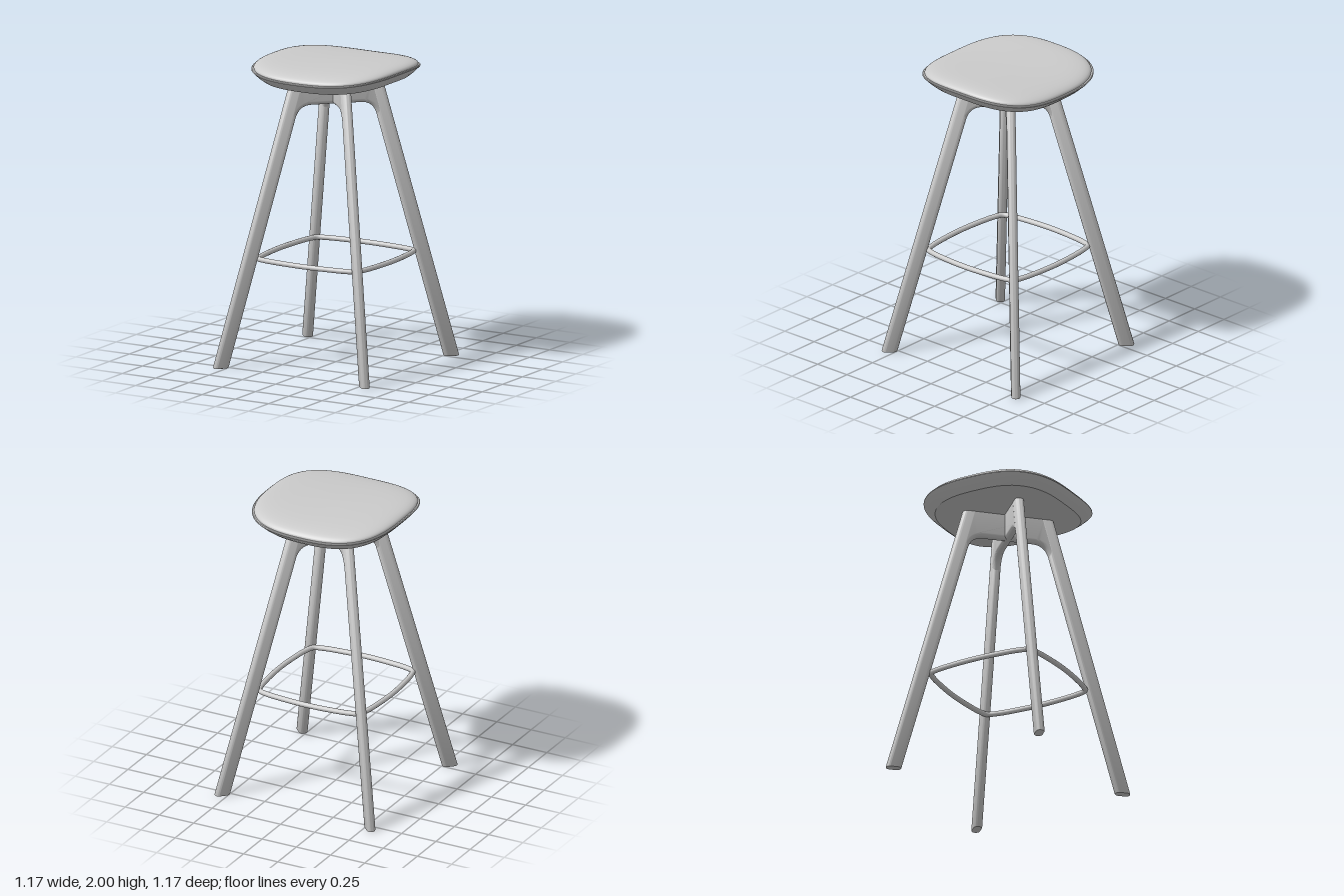
import * as THREE from 'three';
import { mergeVertices, toCreasedNormals } from 'three/addons/utils/BufferGeometryUtils.js';

const HALF = 0.495;      // half width of the seat
const ROUND = 2.9;       // squareness of the seat outline
const SADDLE = 0.08;     // sides curve up, front and back curve down
const LEAN = 0.2737;     // leg lean along the diagonal, per unit of height
const FOOT = 0.764;      // diagonal distance of the foot centre
const LEG_R = 0.029;     // half thickness of a leg
const LEG_FLAT = 0.022;  // half length of the flat part of its section

// Profile of [scale, height] pairs swept round a squarish outline and bent to a saddle
function seatPart(profile, crease) {
  const geo = new THREE.LatheGeometry(profile.map(([s, y]) => new THREE.Vector2(s, y)), 96);
  geo.deleteAttribute('uv');
  geo.deleteAttribute('normal');
  const p = geo.attributes.position;
  for (let i = 0; i < p.count; i++) {
    const x = p.getX(i), z = p.getZ(i);
    const a = Math.atan2(z, x);
    const k = HALF / Math.pow(Math.abs(Math.cos(a)) ** ROUND + Math.abs(Math.sin(a)) ** ROUND, 1 / ROUND);
    const nx = x * k, nz = z * k;
    p.setXYZ(i, nx, p.getY(i) + SADDLE * (nx * nx - nz * nz), nz);
  }
  const merged = mergeVertices(geo, 1e-5);
  merged.computeVertexNormals();
  return crease ? toCreasedNormals(merged, crease) : merged;
}

// Leg with a stadium section, sheared outwards along +x
function legGeometry() {
  const s = new THREE.Shape();
  s.absarc(LEG_FLAT, 0, LEG_R, -Math.PI / 2, Math.PI / 2, false);
  s.absarc(-LEG_FLAT, 0, LEG_R, Math.PI / 2, Math.PI * 1.5, false);
  const b = 0.006;
  const geo = new THREE.ExtrudeGeometry(s, {
    depth: 1.9 - 2 * b, curveSegments: 12,
    bevelThickness: b, bevelSize: b, bevelOffset: -b, bevelSegments: 2,
  });
  geo.translate(0, 0, b).rotateX(-Math.PI / 2);
  const p = geo.attributes.position;
  for (let i = 0; i < p.count; i++) p.setX(i, p.getX(i) + FOOT - LEAN * p.getY(i));
  return toCreasedNormals(geo, 0.6);
}

// Rounded board between two opposite legs, with fillets running into them
function apronGeometry() {
  const inner = y => FOOT - LEG_R - LEG_FLAT - LEAN * y;
  const end = y => FOOT + 0.015 - LEAN * y;
  const s = new THREE.Shape();
  s.moveTo(-0.165, 1.705);
  s.lineTo(0.165, 1.705);
  s.quadraticCurveTo(inner(1.705), 1.705, inner(1.62), 1.62);
  s.lineTo(end(1.62), 1.62);
  s.lineTo(end(1.91), 1.91);
  s.lineTo(-end(1.91), 1.91);
  s.lineTo(-end(1.62), 1.62);
  s.lineTo(-inner(1.62), 1.62);
  s.quadraticCurveTo(-inner(1.705), 1.705, -0.165, 1.705);
  const b = 0.0275;
  const geo = new THREE.ExtrudeGeometry(s, {
    depth: 0.002, curveSegments: 12,
    bevelThickness: b, bevelSize: b, bevelOffset: -b, bevelSegments: 6,
  });
  geo.translate(0, 0, -0.001);
  return toCreasedNormals(geo, 0.6);
}

// Rounded square footrest with bowed sides
function footrestGeometry() {
  const quarter = [[0.41, 0], [0.399, 0.2], [0.385, 0.3], [0.363, 0.363], [0.3, 0.385], [0.2, 0.399]];
  const pts = [];
  for (let q = 0; q < 4; q++) {
    for (const [x, z] of quarter) {
      pts.push(new THREE.Vector3(x, 0.707, z).applyAxisAngle(new THREE.Vector3(0, 1, 0), -q * Math.PI / 2));
    }
  }
  return new THREE.TubeGeometry(new THREE.CatmullRomCurve3(pts, true), 160, 0.017, 12, true);
}

export function createModel() {
  const group = new THREE.Group();
  const mat = new THREE.MeshStandardMaterial({ color: 0xcccccc });
  const add = (name, geo, angle = 0) => {
    const mesh = new THREE.Mesh(geo, mat);
    mesh.name = name;
    mesh.rotation.y = angle;
    group.add(mesh);
  };

  // Seat shell: flat underside, bevelled side and thin lip
  add('seatShell', seatPart([
    [0, 1.875], [0.2, 1.875], [0.4, 1.875], [0.6, 1.875], [0.75, 1.875], [0.865, 1.876],
    [0.93, 1.902], [0.99, 1.932], [1, 1.938], [1, 1.943], [0.992, 1.947], [0.965, 1.945],
  ], 0.45));

  // Padded top with a rounded edge
  add('seatCushion', seatPart([
    [0.96, 1.935], [0.972, 1.945], [0.974, 1.952], [0.966, 1.96], [0.95, 1.967], [0.925, 1.974],
    [0.89, 1.98], [0.84, 1.985], [0.77, 1.989], [0.68, 1.992], [0.55, 1.994], [0.4, 1.995],
    [0.2, 1.996], [0, 1.996],
  ]));

  // Four splayed legs on the diagonals
  const leg = legGeometry();
  ['backLeftLeg', 'backRightLeg', 'frontRightLeg', 'frontLeftLeg'].forEach((name, i) =>
    add(name, leg, Math.PI / 4 + i * Math.PI / 2));

  // Crossed boards under the seat
  const apron = apronGeometry();
  add('apronA', apron, Math.PI / 4);
  add('apronB', apron, -Math.PI / 4);

  add('footrest', footrestGeometry());
  return group;
}
